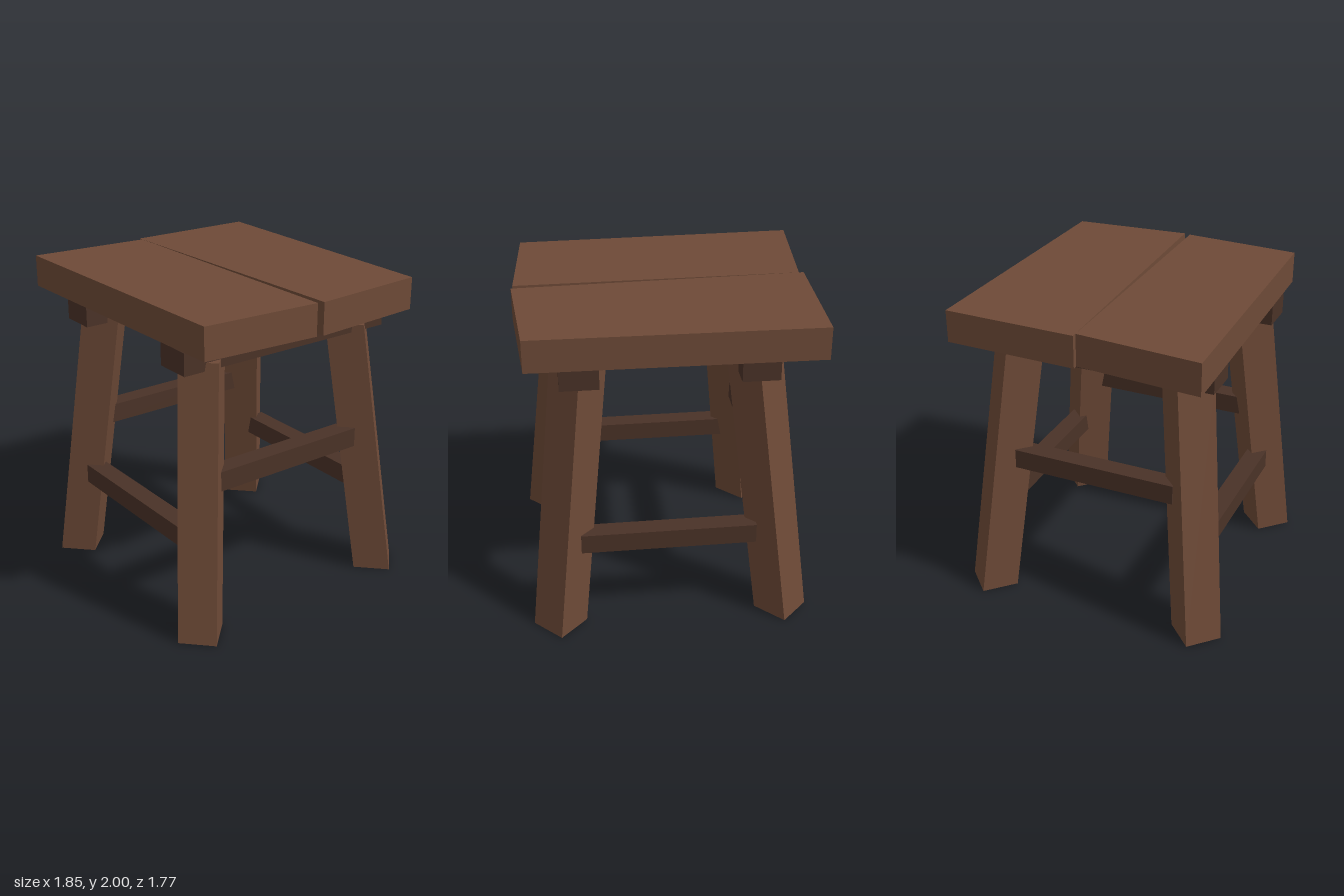
import * as THREE from 'three';

export function createModel() {
  const stool = new THREE.Group();
  stool.name = 'stool';
  const wood = new THREE.MeshStandardMaterial({ color: 0x6e4a37 });
  wood.name = 'brown wood';
  const darkWood = new THREE.MeshStandardMaterial({ color: 0x4a3227 });
  darkWood.name = 'dark brown wood';

  const add = (name, geometry, material) => {
    const mesh = new THREE.Mesh(geometry, material);
    mesh.name = name;
    stool.add(mesh);
  };

  // Box given by its low and high corner
  const bar = (name, [x0, y0, z0], [x1, y1, z1]) => {
    const g = new THREE.BoxGeometry(x1 - x0, y1 - y0, z1 - z0);
    g.translate((x0 + x1) / 2, (y0 + y1) / 2, (z0 + z1) / 2);
    add(name, g, darkWood);
  };

  // Seat plank with a crooked outline of [x, z] corners
  const plank = (name, corners) => {
    const shape = new THREE.Shape(corners.map(([x, z]) => new THREE.Vector2(x, -z)));
    const g = new THREE.ExtrudeGeometry(shape, { depth: 0.2, bevelEnabled: false });
    g.rotateX(-Math.PI / 2).translate(0, 1.8, 0);
    add(name, g, wood);
  };
  plank('backPlank', [[-0.87, -0.8], [0.865, -0.78], [0.92, -0.03], [-0.89, 0.03]]);
  plank('frontPlank', [[-0.86, 0.03], [0.91, 0.01], [0.86, 0.76], [-0.925, 0.8]]);

  // Square legs turned by 45 degrees, leaning inward, cut level at both ends
  const legHeight = 1.705;
  const leg = (name, foot, top) => {
    const g = new THREE.BoxGeometry(0.235, legHeight, 0.235);
    g.rotateY(Math.PI / 4).translate(0, legHeight / 2, 0);
    const p = g.attributes.position;
    for (let i = 0; i < p.count; i++) {
      const t = p.getY(i) / legHeight;
      p.setX(i, p.getX(i) + THREE.MathUtils.lerp(foot[0], top[0], t));
      p.setZ(i, p.getZ(i) + THREE.MathUtils.lerp(foot[1], top[1], t));
    }
    g.computeVertexNormals();
    add(name, g, wood);
  };
  leg('frontRightLeg', [-0.66, 0.72], [-0.495, 0.56]);
  leg('frontLeftLeg', [0.745, 0.72], [0.555, 0.56]);
  leg('backRightLeg', [-0.685, -0.71], [-0.49, -0.54]);
  leg('backLeftLeg', [0.73, -0.72], [0.555, -0.54]);

  // Battens under the seat
  bar('rightBatten', [-0.605, 1.655, -0.74], [-0.38, 1.795, 0.76]);
  bar('leftBatten', [0.44, 1.655, -0.74], [0.67, 1.795, 0.76]);

  // Stretchers: low at front and back, higher at the sides
  bar('frontStretcher', [-0.505, 0.53, 0.615], [0.58, 0.655, 0.74]);
  bar('backStretcher', [-0.505, 0.53, -0.74], [0.58, 0.655, -0.615]);
  bar('rightStretcher', [-0.655, 0.895, -0.52], [-0.53, 1.02, 0.54]);
  bar('leftStretcher', [0.585, 0.895, -0.52], [0.71, 1.02, 0.54]);

  return stool;
}
